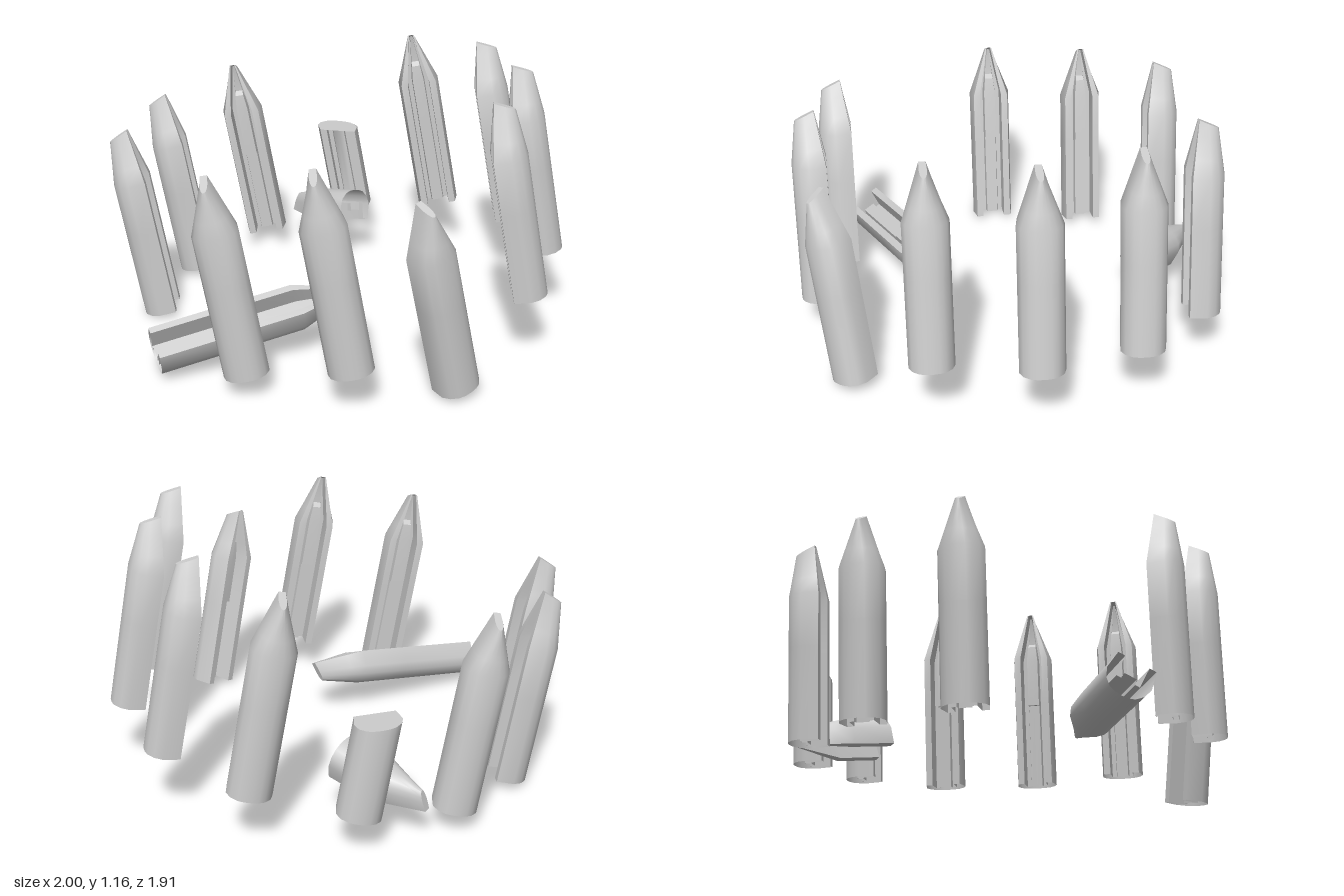
import * as THREE from 'three';
import { toCreasedNormals } from 'three/addons/utils/BufferGeometryUtils.js';

const material = new THREE.MeshStandardMaterial({ color: 0xcccccc, side: THREE.DoubleSide });
const SHOULDER = 0.63, TIP = 0.845;

// Cross-section as [across, outward]: rounded back, two flanges, channel with a central rib
function section(rib) {
  const half = [
    [0.03, -0.003], [0.055, -0.012], [0.082, -0.038], [0.095, -0.075], [0.082, -0.148],
    [0.052, -0.148], [0.05, -0.062], [0.03, -0.062], [0.026, rib],
  ];
  const mirrored = half.map(([u, r]) => [-u, r]).reverse();
  return [[0, 0], ...half, [0, rib], ...mirrored];
}

// One ring of points at height h; above the shoulder it narrows to a rising ridge
function ring(h, rib, slope) {
  const t = Math.max(0, (h - SHOULDER) / (TIP - SHOULDER));
  return section(rib).map(([u, r]) => {
    const width = 1 - 0.83 * t;
    const inner = THREE.MathUtils.clamp(-r / 0.148, 0, 1);
    const z = THREE.MathUtils.lerp(r, -0.025 - 0.085 * inner, t);
    return [u * width, h + slope * u + t * (inner - 0.6) * 0.04, z];
  });
}

// Loft the rings and close the top; the foot stays hollow
function loft(levels) {
  const rings = levels.map(([h, rib, slope = 0]) => ring(h, rib, slope));
  const n = rings[0].length, index = [];
  for (let j = 0; j < rings.length - 1; j++) {
    for (let i = 0; i < n; i++) {
      const a = j * n + i, b = j * n + (i + 1) % n;
      index.push(a, b, b + n, a, b + n, a + n);
    }
  }
  const top = (rings.length - 1) * n;
  for (let i = 0; i < n / 2; i++) {
    const a = top + i, b = top + i + 1, c = top + (n - i - 1) % n, d = top + (n - i) % n;
    index.push(a, b, c, a, c, d);
  }
  const geometry = new THREE.BufferGeometry();
  geometry.setAttribute('position', new THREE.Float32BufferAttribute(rings.flat(2), 3));
  geometry.setIndex(index);
  return toCreasedNormals(geometry, 0.7);
}

// Place a piece by the middle of its back edge, its long axis and the way its back faces
function place(parent, name, geometry, foot, axis, back) {
  const y = new THREE.Vector3(...axis).normalize();
  const x = new THREE.Vector3().crossVectors(y, new THREE.Vector3(...back)).normalize();
  const z = new THREE.Vector3().crossVectors(x, y);
  const mesh = new THREE.Mesh(geometry, material);
  mesh.name = name;
  mesh.quaternion.setFromRotationMatrix(new THREE.Matrix4().makeBasis(x, y, z));
  mesh.position.set(...foot);
  parent.add(mesh);
}

export function createModel() {
  const model = new THREE.Group();
  model.name = 'columnRing';

  const upper = [[SHOULDER, -0.1], [0.7, -0.1], [0.72, -0.075], [0.79, -0.08], [TIP, -0.1]];
  const column = loft([[0, -0.085], [0.4, -0.085], [0.4, -0.1], ...upper]);
  const stump = loft([[0, -0.085], [0.4, -0.085], [0.42, -0.1, 0.25]]);
  const brokenTip = loft([[0.43, -0.1], ...upper]);

  // Standing columns: four sides of three on a sloping ground plane
  const standing = new THREE.Group();
  standing.name = 'standingColumns';
  standing.position.set(0.06, 0.17, 0);
  standing.rotation.z = 0.176;
  model.add(standing);
  const sides = [
    { name: 'left', out: [1, 0] }, { name: 'right', out: [-1, 0] },
    { name: 'front', out: [0, 1] }, { name: 'back', out: [0, -1] },
  ];
  for (const { name, out: [ox, oz] } of sides) {
    for (const k of [-1, 0, 1]) {
      const fallen = name === 'right' && k === 1;
      const leaning = name === 'front' && k === 1;
      if (fallen || leaning) continue;
      const r = k ? 0.835 : 0.953;
      const side = k * 0.432;
      const foot = [ox * r + Math.abs(oz) * side, 0, oz * r + Math.abs(ox) * side];
      const broken = name === 'back' && k === 0;
      place(standing, broken ? 'brokenStump' : name + 'Column' + (k + 2),
        broken ? stump : column, foot, [0, 1, 0], [ox, 0, oz]);
    }
  }

  // Column tipping outward, fallen column with its channel up, and the snapped-off tip
  place(model, 'leaningColumn', column, [0.545, 0.04, 0.81], [-0.16, 0.83, 0.1], [0.65, 0, 0.76]);
  place(model, 'fallenColumn', column, [-0.755, 0.04, 0.585], [0.78, 0.13, -0.29], [0, -0.9, -0.45]);
  place(model, 'brokenTip', brokenTip, [0.37, 0.46, -0.3], [-0.29, -0.1, -0.28], [0.1, 1, -0.15]);

  return model;
}
